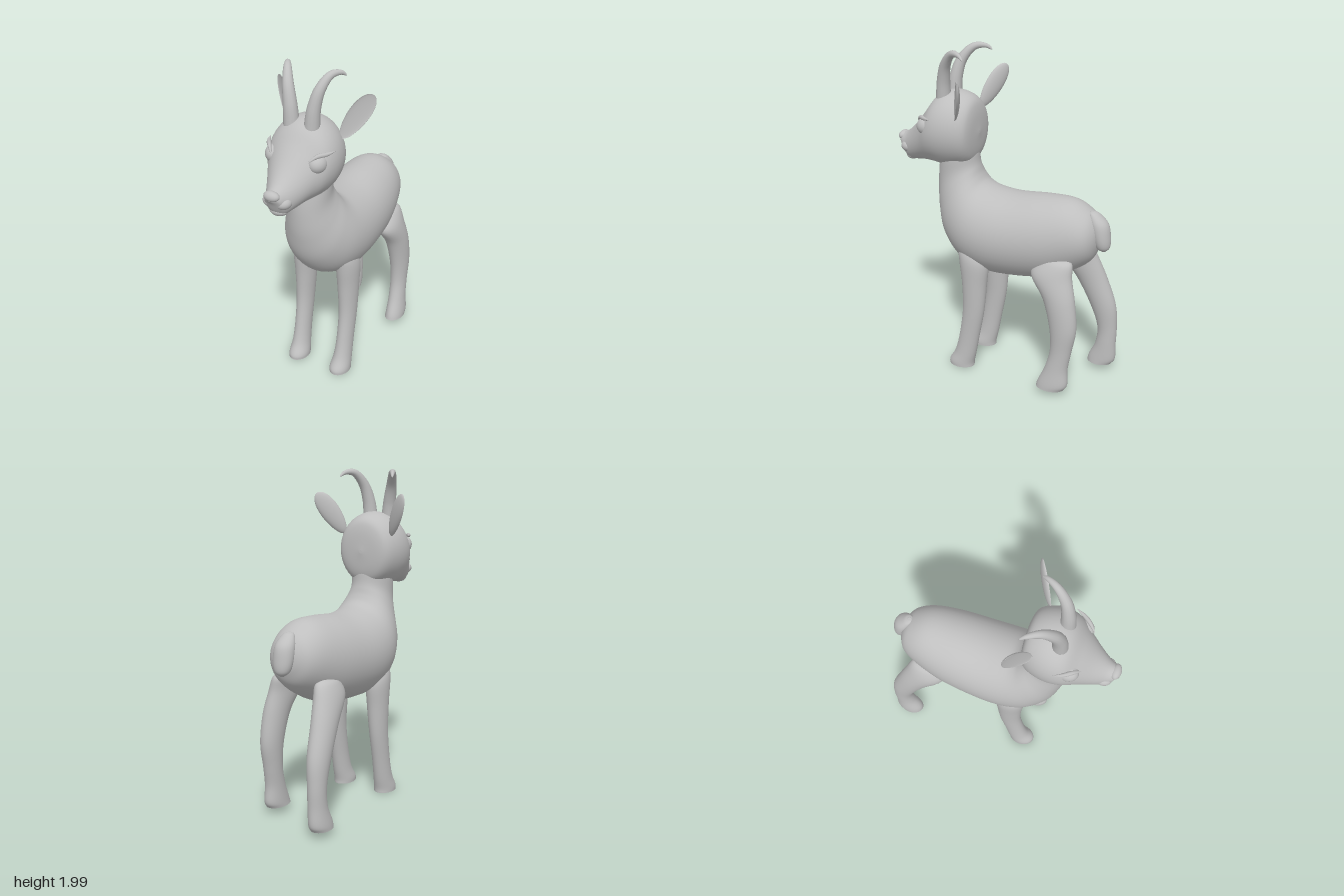
import * as THREE from 'three';

// Smooth loft through elliptical sections [cx, cy, cz, halfWidthX, vY, vZ];
// each section spans +-halfWidth along x and +-(0, vY, vZ) across.
function loft(rows, n = 28, sub = 6) {
  const centres = new THREE.CatmullRomCurve3(rows.map(r => new THREE.Vector3(r[0], r[1], r[2])), false, 'catmullrom');
  const spans = new THREE.CatmullRomCurve3(rows.map(r => new THREE.Vector3(r[3], r[4], r[5])), false, 'catmullrom');
  const steps = (rows.length - 1) * sub, pos = [], idx = [];
  const ring = t => {
    const c = centres.getPoint(t), s = spans.getPoint(t);
    for (let j = 0; j < n; j++) {
      const a = j / n * Math.PI * 2, k = Math.sin(a);
      pos.push(c.x + s.x * Math.cos(a), c.y + s.y * k, c.z + s.z * k);
    }
    return c;
  };
  for (let i = 0; i <= steps; i++) ring(i / steps);
  for (let i = 0; i < steps; i++) for (let j = 0; j < n; j++) {
    const a = i * n + j, b = i * n + (j + 1) % n;
    idx.push(a, b, a + n, b, b + n, a + n);
  }
  // end caps with their own corners
  for (const t of [0, 1]) {
    const start = pos.length / 3, c = ring(t), mid = pos.length / 3;
    pos.push(c.x, c.y, c.z);
    for (let j = 0; j < n; j++) {
      const a = start + j, b = start + (j + 1) % n;
      if (t) idx.push(mid, a, b); else idx.push(mid, b, a);
    }
  }
  const g = new THREE.BufferGeometry();
  g.setAttribute('position', new THREE.Float32BufferAttribute(pos, 3));
  g.setIndex(idx);
  g.computeVertexNormals();
  return g;
}

// Section from its top (z, y), bottom (z, y) and half width
const section = ([tz, ty, bz, by, w]) => [0, (ty + by) / 2, (tz + bz) / 2, w, (ty - by) / 2, (tz - bz) / 2];
// Horizontal section for legs and tail
const slice = ([y, x, z, rx, rz]) => [x, y, z, rx, 0, rz];

// Tube whose radius follows a function of t
function taperedTube(points, radius, seg = 32, sides = 14) {
  const curve = new THREE.CatmullRomCurve3(points.map(p => new THREE.Vector3(...p)));
  const g = new THREE.TubeGeometry(curve, seg, 1, sides), p = g.attributes.position, v = new THREE.Vector3();
  for (let i = 0; i < p.count; i++) {
    const t = Math.floor(i / (sides + 1)) / seg, c = curve.getPointAt(t);
    v.fromBufferAttribute(p, i).sub(c).multiplyScalar(radius(t)).add(c);
    p.setXYZ(i, v.x, v.y, v.z);
  }
  return g;
}

export function createModel() {
  const model = new THREE.Group();
  model.name = 'hornedKid';
  const grey = new THREE.MeshStandardMaterial({ color: 0xbfbfbf });
  grey.name = 'plain grey';
  const add = (name, geometry) => {
    const m = new THREE.Mesh(geometry, grey);
    m.name = name;
    model.add(m);
    return m;
  };
  const blob = (name, [x, y, z], [a, b, c]) =>
    add(name, new THREE.SphereGeometry(1, 24, 16).scale(a, b, c).translate(x, y, z));

  // Body sweeping up into the neck
  add('bodyAndNeck', loft([
    [-0.637, 1.0, -0.637, 0.98, 0.01],
    [-0.615, 1.07, -0.625, 0.9, 0.085],
    [-0.565, 1.13, -0.585, 0.82, 0.145],
    [-0.46, 1.18, -0.48, 0.745, 0.19],
    [-0.3, 1.18, -0.32, 0.675, 0.225],
    [-0.1, 1.163, -0.1, 0.643, 0.243],
    [0.04, 1.175, 0.08, 0.645, 0.245],
    [0.1, 1.2, 0.24, 0.705, 0.23],
    [0.13, 1.24, 0.355, 0.84, 0.195],
    [0.145, 1.28, 0.4, 1.0, 0.155],
    [0.155, 1.32, 0.41, 1.15, 0.13],
    [0.165, 1.4, 0.4, 1.28, 0.13],
    [0.2, 1.5, 0.37, 1.42, 0.13],
  ].map(section), 40));

  // Head tapering to the muzzle
  add('head', loft([
    [0.143, 1.51, 0.143, 1.49, 0.01],
    [0.153, 1.63, 0.158, 1.37, 0.12],
    [0.18, 1.695, 0.19, 1.31, 0.17],
    [0.25, 1.73, 0.26, 1.285, 0.2],
    [0.33, 1.733, 0.34, 1.275, 0.208],
    [0.4, 1.7, 0.42, 1.282, 0.192],
    [0.47, 1.615, 0.49, 1.283, 0.15],
    [0.55, 1.52, 0.56, 1.275, 0.108],
    [0.62, 1.455, 0.615, 1.272, 0.075],
    [0.665, 1.432, 0.645, 1.305, 0.056],
    [0.685, 1.42, 0.672, 1.36, 0.038],
    [0.695, 1.405, 0.69, 1.385, 0.01],
  ].map(section), 40));
  blob('nose', [0, 1.41, 0.67], [0.048, 0.03, 0.03]);
  blob('chin', [0, 1.3, 0.605], [0.055, 0.033, 0.042]);

  // Tail
  add('tail', loft([
    [1.128, 0, -0.585, 0.01, 0.01],
    [1.115, 0, -0.595, 0.035, 0.03],
    [1.06, 0, -0.625, 0.058, 0.055],
    [0.98, 0, -0.645, 0.06, 0.052],
    [0.92, 0, -0.655, 0.045, 0.04],
    [0.892, 0, -0.66, 0.01, 0.01],
  ].map(slice), 24));

  // Hind legs: one stepping forward, one trailing
  add('leftHindLeg', loft([
    [0.86, 0.14, -0.44, 0.03, 0.06],
    [0.83, 0.15, -0.43, 0.055, 0.1],
    [0.75, 0.168, -0.41, 0.07, 0.127],
    [0.62, 0.187, -0.468, 0.068, 0.098],
    [0.45, 0.197, -0.502, 0.06, 0.083],
    [0.3, 0.2, -0.495, 0.052, 0.066],
    [0.18, 0.205, -0.472, 0.052, 0.07],
    [0.08, 0.21, -0.452, 0.058, 0.093],
    [0.04, 0.21, -0.435, 0.059, 0.088],
  ].map(slice)));
  add('rightHindLeg', loft([
    [0.86, -0.14, -0.44, 0.03, 0.06],
    [0.83, -0.15, -0.44, 0.055, 0.1],
    [0.75, -0.168, -0.45, 0.07, 0.125],
    [0.62, -0.187, -0.525, 0.068, 0.1],
    [0.45, -0.2, -0.598, 0.062, 0.083],
    [0.3, -0.207, -0.63, 0.052, 0.062],
    [0.18, -0.207, -0.626, 0.052, 0.064],
    [0.08, -0.21, -0.605, 0.058, 0.085],
    [0.04, -0.21, -0.59, 0.059, 0.078],
  ].map(slice)));

  for (const s of [1, -1]) {
    const side = s > 0 ? 'left' : 'right';

    // Front leg
    add(side + 'FrontLeg', loft([
      [0.82, 0.15, 0.15, 0.03, 0.05],
      [0.79, 0.152, 0.13, 0.05, 0.08],
      [0.72, 0.15, 0.11, 0.066, 0.094],
      [0.58, 0.15, 0.108, 0.062, 0.08],
      [0.4, 0.153, 0.115, 0.053, 0.07],
      [0.22, 0.153, 0.145, 0.05, 0.066],
      [0.1, 0.152, 0.172, 0.054, 0.07],
      [0.03, 0.15, 0.2, 0.062, 0.082],
      [0, 0.15, 0.203, 0.062, 0.083],
    ].map(([y, x, ...r]) => slice([y, x * s, ...r]))));

    // Horn, curling back and outward; the right one leans out more
    const lean = s > 0 ? 0 : 1;
    add(side + 'Horn', taperedTube([
      [0.055 + 0.015 * lean, 1.67, 0.352],
      [0.066 + 0.018 * lean, 1.8, 0.343],
      [0.087 + 0.025 * lean, 1.9, 0.315],
      [0.117 + 0.034 * lean, 1.967, 0.255],
      [0.147 + 0.04 * lean, 1.968, 0.195],
      [0.162 + 0.042 * lean, 1.943, 0.162],
    ].map(([x, y, z]) => [x * s, y, z]), t => 0.046 * Math.sqrt(1 - t ** 3) * (1 - 0.5 * t)));

    // Ear: flattened leaf with a dished front
    const ear = new THREE.SphereGeometry(1, 28, 20), p = ear.attributes.position;
    for (let i = 0; i < p.count; i++) {
      const y = p.getY(i), z = p.getZ(i);
      p.setXYZ(i, p.getX(i) * 0.06 * (1 + 0.15 * y), y * 0.15, z > 0 ? -0.008 * z : 0.026 * z);
    }
    const along = new THREE.Vector3(0.45 * s, 0.83, -0.33).normalize();
    const across = new THREE.Vector3(0.75, -0.44 * s, -0.49 * s).normalize();
    const facing = across.clone().cross(along).normalize();
    ear.applyMatrix4(new THREE.Matrix4().makeBasis(across, along, facing).setPosition(0.232 * s, 1.725, 0.172));
    ear.computeVertexNormals();
    add(side + 'Ear', ear);

    // Eye with upper and lower lids
    blob(side + 'Eye', [0.135 * s, 1.53, 0.425], [0.052, 0.055, 0.062]);
    const lid = (name, pts, r) => add(side + name,
      taperedTube(pts.map(([x, y, z]) => [x * s, y, z]), t => r * Math.sin(Math.PI * t) + 0.001, 16, 8));
    lid('UpperLid', [[0.115, 1.555, 0.495], [0.15, 1.585, 0.455], [0.182, 1.588, 0.41], [0.205, 1.59, 0.36]], 0.012);
    lid('LowerLid', [[0.12, 1.49, 0.495], [0.155, 1.472, 0.45], [0.192, 1.472, 0.39]], 0.01);

    // Muzzle cheek
    blob(side + 'MuzzleCheek', [0.038 * s, 1.358, 0.615], [0.047, 0.038, 0.05]);
  }
  return model;
}
